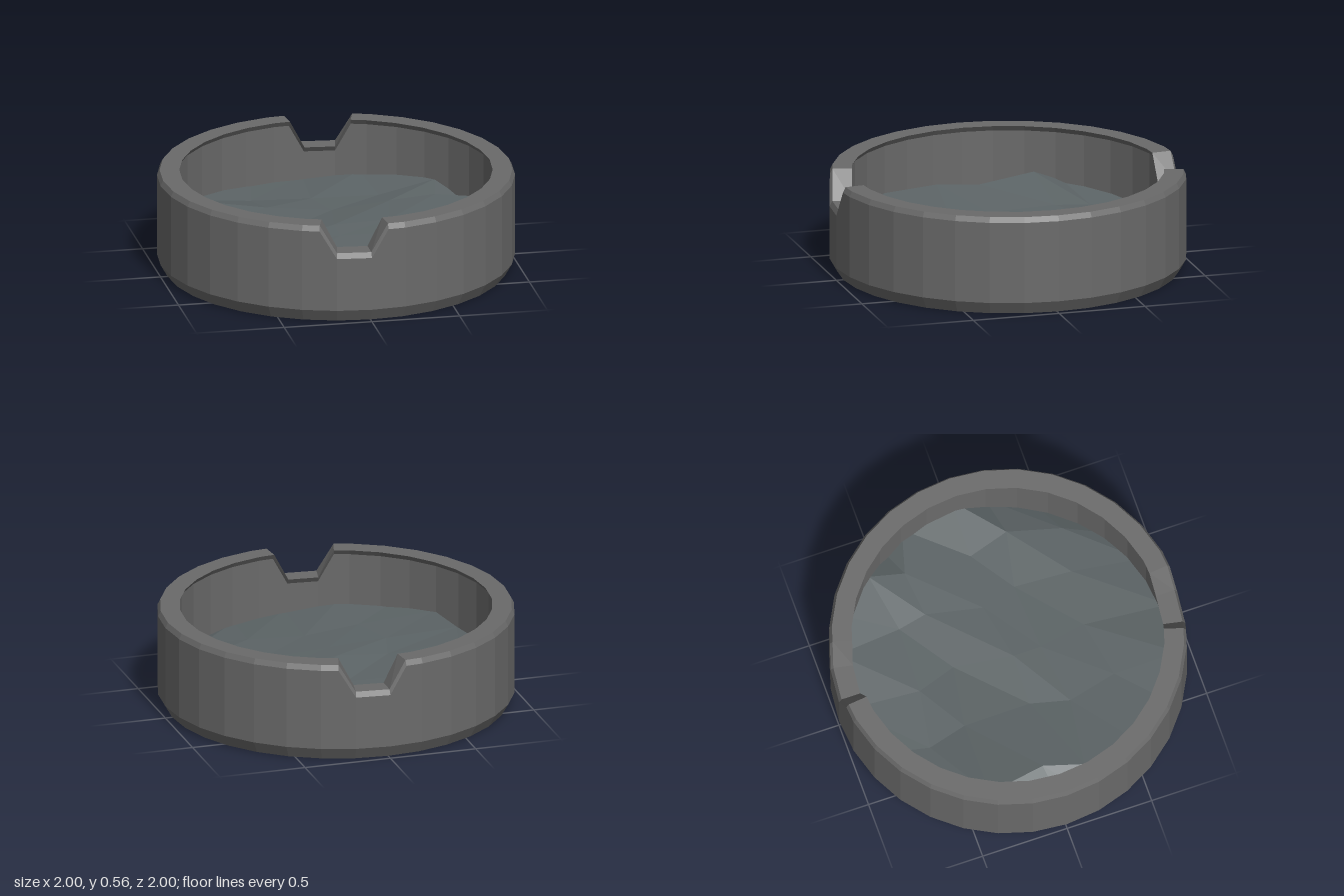
import * as THREE from 'three';

const SIDES = 32;

// Flat-shaded geometry from a grid of points (rows[i][j])
function skin(rows, closed) {
  const pos = [];
  const n = rows.length;
  const tri = (a, b, c) => pos.push(...a, ...b, ...c);
  for (let i = 0; i < (closed ? n : n - 1); i++) {
    const r = rows[i], s = rows[(i + 1) % n];
    for (let j = 0; j < r.length - 1; j++) {
      tri(r[j], s[j], s[j + 1]);
      tri(r[j], s[j + 1], r[j + 1]);
    }
  }
  const g = new THREE.BufferGeometry();
  g.setAttribute('position', new THREE.Float32BufferAttribute(pos, 3));
  g.computeVertexNormals();
  return g;
}

// Round bowl whose rim drops at two opposite notches
function bowlGeometry() {
  // radius, height, share of the notch drop
  const profile = [
    [0, 0, 0], [0.96, 0, 0], [1, 0.07, 0], [1, 0.535, 1], [0.985, 0.565, 1],
    [0.875, 0.565, 1], [0.895, 0.535, 1], [0.895, 0.1, 0], [0, 0.1, 0],
  ];
  const notchDrop = 0.16;
  const stations = [];
  for (let i = 0; i < SIDES; i++) {
    const low = [0, 31, 15, 16].includes(i);
    stations.push({ i, drop: low ? notchDrop : 0 });
    // upper corners of the notches lie halfway along a side
    if ([0, 14, 16, 30].includes(i)) stations.push({ i: i + 0.5, drop: 0 });
  }
  const rows = stations.map(({ i, drop }) => {
    const a = (i / SIDES) * Math.PI * 2;
    const k = i % 1 ? Math.cos(Math.PI / SIDES) : 1;
    return profile.map(([r, y, share]) =>
      [Math.sin(a) * r * k, y - drop * share, Math.cos(a) * r * k]);
  });
  return skin(rows, true);
}

// Uneven ash bed, its edge tucked into the bowl wall
function ashGeometry() {
  const xs = [-1, -0.74, -0.33, 0, 0.35, 0.65, 1];
  const zs = [-1, -0.55, -0.35, 0, 0.2, 0.5, 1];
  const heights = [
    [0.22, 0.21, 0.21, 0.21, 0.24, 0.26, 0.25],
    [0.25, 0.25, 0.21, 0.22, 0.22, 0.27, 0.2],
    [0.24, 0.31, 0.24, 0.22, 0.24, 0.25, 0.24],
    [0.17, 0.28, 0.23, 0.25, 0.24, 0.23, 0.28],
    [0.16, 0.28, 0.24, 0.24, 0.23, 0.25, 0.2],
    [0.18, 0.26, 0.23, 0.22, 0.22, 0.21, 0.16],
    [0.22, 0.24, 0.24, 0.2, 0.18, 0.16, 0.15],
  ];
  const rows = xs.map((x, i) => zs.map((z, j) => {
    const k = Math.min(1, 0.95 / Math.max(Math.hypot(x, z), 1e-6));
    // small sideways shifts so the lumps are irregular
    const inner = i > 0 && i < 6 && j > 0 && j < 6 ? 0.04 : 0;
    return [x * k + inner * Math.sin(j * 2.3 + i), heights[j][i],
      z * k + inner * Math.sin(i * 1.9 + j)];
  }));
  // reversed so the faces look up
  return skin(rows.reverse(), false);
}

export function createModel() {
  const group = new THREE.Group();
  group.name = 'ashtray';
  const add = (name, geometry, color, side) => {
    const material = new THREE.MeshStandardMaterial({ color, flatShading: true, side });
    const mesh = new THREE.Mesh(geometry, material);
    mesh.name = name;
    group.add(mesh);
  };
  add('bowl', bowlGeometry(), 0x6a6a6a, THREE.FrontSide);
  add('ashBed', ashGeometry(), 0x5c6466, THREE.DoubleSide);
  return group;
}
